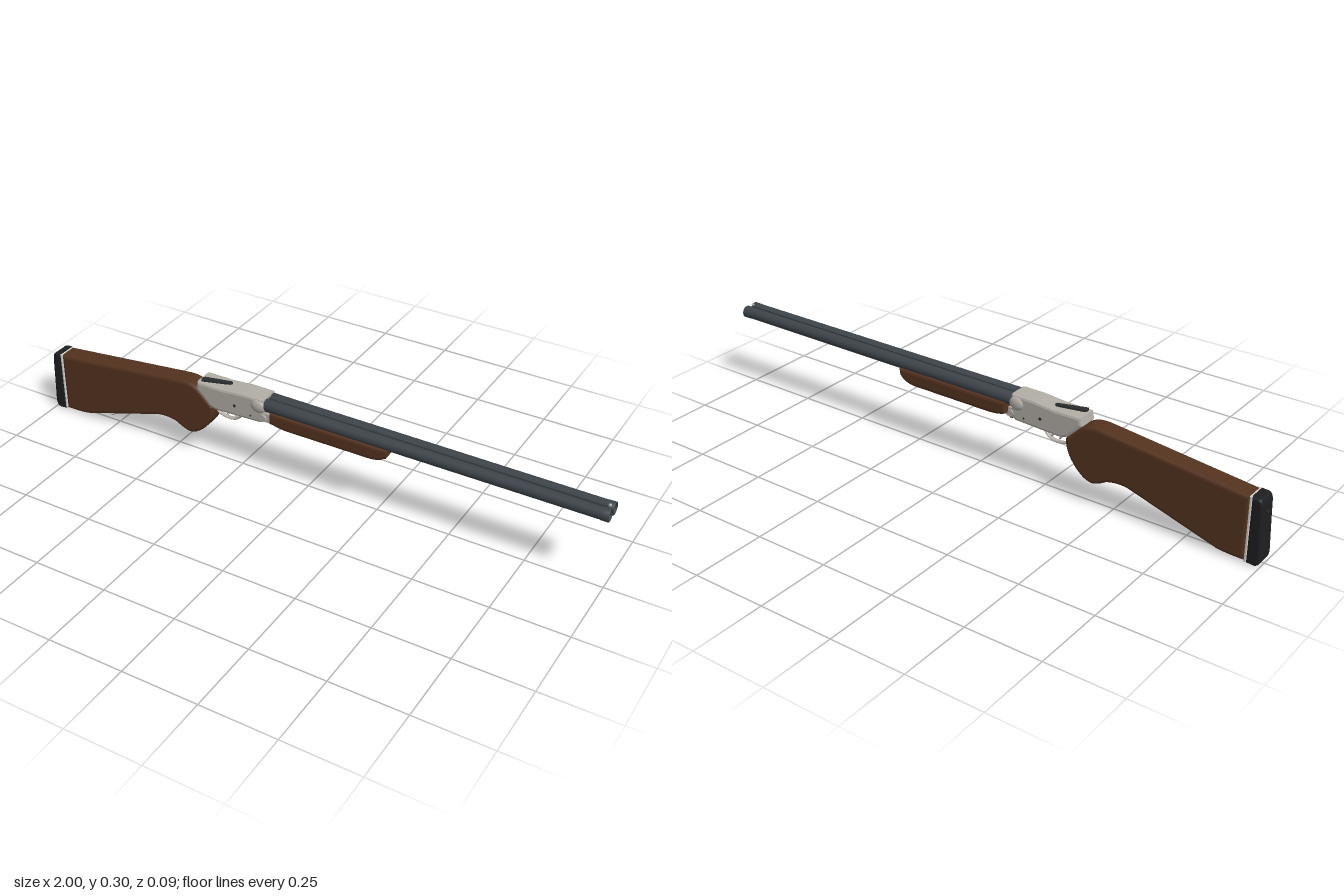
import * as THREE from 'three';

const material = (name, color) => Object.assign(new THREE.MeshStandardMaterial({ color }), { name });

export function createModel() {
  const model = new THREE.Group();
  model.name = 'doubleBarrelModel';
  const wood = material('walnut', 0x54331f);
  const steel = material('bluedSteel', 0x3d444a);
  const silver = material('silverMetal', 0xb2aea6);
  const rubber = material('blackRubber', 0x1d1e20);
  const pale = material('paleSpacer', 0xd2cfc8);
  const dark = material('darkMetal', 0x2a2d30);

  const add = (name, geometry, mat, x = 0, y = 0, z = 0) => {
    const mesh = new THREE.Mesh(geometry, mat);
    mesh.name = name;
    mesh.position.set(x, y, z);
    model.add(mesh);
    return mesh;
  };
  const box = (name, w, h, d, mat, x, y, z = 0) => add(name, new THREE.BoxGeometry(w, h, d), mat, x, y, z);

  // Side outline extruded across z, with bevelled edges kept inside the outline
  const slab = (name, shape, width, bevel, mat, segments = 3) => {
    const geometry = new THREE.ExtrudeGeometry(shape, {
      depth: width - 2 * bevel, bevelEnabled: bevel > 0, bevelSize: bevel, bevelThickness: bevel,
      bevelOffset: -bevel, bevelSegments: segments, curveSegments: 8,
    });
    geometry.translate(0, 0, -(width - 2 * bevel) / 2);
    return add(name, geometry, mat);
  };
  const polygon = (points) => new THREE.Shape(points.map(([x, y]) => new THREE.Vector2(x, y)));
  const tube = (name, points, radius, mat) => add(name, new THREE.TubeGeometry(
    new THREE.CatmullRomCurve3(points.map(([x, y, z = 0]) => new THREE.Vector3(x, y, z))), 24, radius, 8), mat);
  // Round pin running across the model
  const pin = (name, radius, length, mat, x, y, z = 0) => {
    const mesh = add(name, new THREE.CylinderGeometry(radius, radius, length, 14), mat, x, y, z);
    mesh.rotation.x = Math.PI / 2;
  };

  // Stock with pistol grip
  const stock = new THREE.Shape();
  stock.moveTo(-0.953, 0.218);
  stock.lineTo(-0.46, 0.272);
  stock.quadraticCurveTo(-0.41, 0.276, -0.385, 0.25);
  stock.lineTo(-0.338, 0.205);
  stock.quadraticCurveTo(-0.336, 0.16, -0.375, 0.115);
  stock.quadraticCurveTo(-0.41, 0.077, -0.44, 0.08);
  stock.quadraticCurveTo(-0.46, 0.084, -0.485, 0.1);
  stock.quadraticCurveTo(-0.52, 0.112, -0.56, 0.105);
  stock.lineTo(-0.86, 0.012);
  stock.quadraticCurveTo(-0.885, 0.006, -0.953, 0.006);
  stock.closePath();
  slab('stock', stock, 0.07, 0.012, wood);

  // Butt pad, spacer and pad screws
  slab('buttSpacer', polygon([[-0.959, 0.004], [-0.951, 0.004], [-0.951, 0.219], [-0.959, 0.219]]), 0.068, 0.002, pale, 1);
  const pad = new THREE.Shape();
  pad.moveTo(-0.957, 0.003);
  pad.lineTo(-0.957, 0.22);
  pad.lineTo(-0.98, 0.218);
  pad.quadraticCurveTo(-0.992, 0.215, -0.993, 0.19);
  pad.quadraticCurveTo(-0.996, 0.11, -1, 0.03);
  pad.quadraticCurveTo(-1, 0, -0.98, 0);
  pad.closePath();
  slab('buttPad', pad, 0.07, 0.008, rubber);
  for (const y of [0.055, 0.17]) {
    const screw = add('padScrew', new THREE.CylinderGeometry(0.005, 0.005, 0.004, 12), dark, -0.997 + y * 0.012, y);
    screw.rotation.z = Math.PI / 2;
  }

  // Receiver body with fences and a wider breech face
  slab('receiver', polygon([[-0.393, 0.29], [-0.3, 0.29], [-0.22, 0.297], [-0.142, 0.297], [-0.142, 0.232],
    [-0.155, 0.21], [-0.325, 0.203], [-0.348, 0.212], [-0.398, 0.262]]), 0.076, 0.009, silver, 2);
  for (const s of [-1, 1]) {
    const fence = add('breechFence', new THREE.SphereGeometry(1, 16, 10), silver, -0.162, 0.27, s * 0.034);
    fence.scale.set(0.028, 0.023, 0.013);
    pin('hingePin', 0.011, 0.006, silver, -0.142, 0.232, s * 0.038);
    pin('receiverScrew', 0.005, 0.003, dark, -0.25, 0.245, s * 0.038);
    pin('rearScrew', 0.003, 0.003, dark, -0.19, 0.228, s * 0.038);
  }
  box('hingeKnuckle', 0.03, 0.03, 0.05, silver, -0.132, 0.227);
  box('hingeLug', 0.012, 0.026, 0.03, dark, -0.128, 0.215);

  // Top lever, swung slightly aside
  const lever = new THREE.Shape();
  lever.moveTo(-0.052, -0.012);
  lever.quadraticCurveTo(-0.058, 0.006, -0.045, 0.01);
  lever.lineTo(0.045, 0.007);
  lever.quadraticCurveTo(0.055, 0, 0.045, -0.007);
  lever.closePath();
  const leverMesh = add('topLever', new THREE.ExtrudeGeometry(lever, { depth: 0.007, bevelEnabled: false }), dark, -0.333, 0.289, 0.004);
  leverMesh.rotation.set(-Math.PI / 2, 0, 0.25);

  // Trigger guard bow and two triggers
  const guard = tube('triggerGuard', [[-0.345, 0.205], [-0.335, 0.178], [-0.305, 0.167], [-0.27, 0.17], [-0.25, 0.187], [-0.242, 0.207]], 0.004, silver);
  guard.scale.z = 2;
  for (const x of [-0.305, -0.275]) {
    tube('trigger', [[x - 0.002, 0.21], [x - 0.003, 0.195], [x + 0.001, 0.184], [x + 0.007, 0.177]], 0.003, silver);
  }

  // Two hollow barrels with muzzle bands
  const barrelProfile = [[0, 0], [0.021, 0], [0.0205, 0.15], [0.0193, 1.11], [0.0203, 1.115],
    [0.0203, 1.138], [0.016, 1.138], [0.0155, 0.98], [0, 0.98]].map(([r, h]) => new THREE.Vector2(r, h));
  for (const s of [-1, 1]) {
    const barrel = add('barrel', new THREE.LatheGeometry(barrelProfile, 28), steel, -0.142, 0.273, s * 0.0195);
    barrel.rotation.z = -Math.PI / 2;
  }

  // Ribs above and below, with the front bead
  box('topRib', 1.12, 0.009, 0.012, steel, 0.42, 0.288);
  box('lowerRib', 1.12, 0.009, 0.014, steel, 0.42, 0.257);
  add('frontBead', new THREE.SphereGeometry(0.005, 12, 8), silver, 0.985, 0.294);

  // Forend with latch plate and catch
  const forend = new THREE.Shape();
  forend.moveTo(-0.122, 0.263);
  forend.lineTo(-0.122, 0.222);
  forend.quadraticCurveTo(-0.1, 0.211, -0.06, 0.209);
  forend.lineTo(0.24, 0.21);
  forend.quadraticCurveTo(0.285, 0.214, 0.298, 0.24);
  forend.lineTo(0.3, 0.263);
  forend.closePath();
  slab('forend', forend, 0.085, 0.012, wood);
  box('forendLatchPlate', 0.09, 0.006, 0.026, dark, 0.215, 0.2085);
  box('forendCatch', 0.03, 0.008, 0.014, dark, 0.262, 0.21);

  // Sling swivel under the stock
  const swivel = add('slingSwivel', new THREE.TorusGeometry(0.011, 0.0025, 8, 20), silver, -0.782, 0.029);
  swivel.scale.z = 1.4;
  box('swivelBase', 0.024, 0.006, 0.014, silver, -0.782, 0.036).rotation.z = 0.3;

  return model;
}
